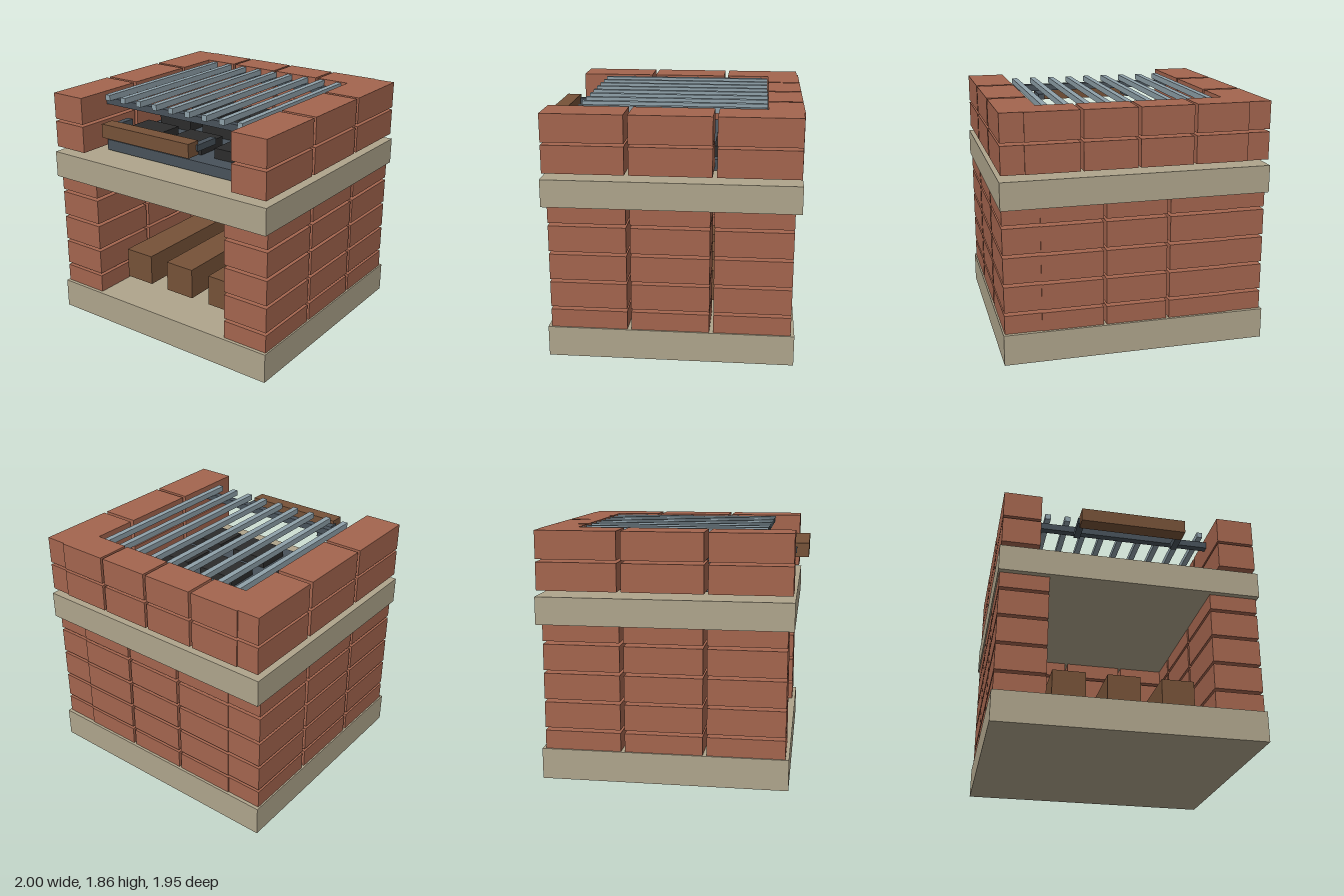
import * as THREE from 'three';

export function createModel() {
  const model = new THREE.Group();
  model.name = 'brickBarbecue';

  const material = (name, color) => {
    const m = new THREE.MeshStandardMaterial({ color });
    m.name = name;
    return m;
  };
  const brick = material('brick red', 0xa4654e);
  const stone = material('sandstone', 0xafa58c);
  const wood = material('brown wood', 0x765238);
  const iron = material('dark iron', 0x48525a);
  const steel = material('pale steel', 0x8fa1aa);
  const coal = material('charcoal', 0x2c2c2c);

  const group = (name) => {
    const g = new THREE.Group();
    g.name = name;
    model.add(g);
    return g;
  };

  // Box given by its extents along each axis
  const box = (parent, name, mat, [x0, x1], [y0, y1], [z0, z1]) => {
    const mesh = new THREE.Mesh(new THREE.BoxGeometry(x1 - x0, y1 - y0, z1 - z0), mat);
    mesh.position.set((x0 + x1) / 2, (y0 + y1) / 2, (z0 + z1) / 2);
    mesh.name = name;
    parent.add(mesh);
  };

  // One U-shaped course: two side walls and a back wall
  const course = (parent, y, c) => {
    for (const zs of c.sideZ) {
      box(parent, 'leftBrick', brick, [c.inner, 0.988], y, zs);
      box(parent, 'rightBrick', brick, [-0.988, -c.inner], y, zs);
    }
    for (let i = 0; i < c.count; i++) {
      const x = (i - (c.count - 1) / 2) * c.pitch;
      box(parent, 'backBrick', brick, [x - c.width / 2, x + c.width / 2], y, c.backZ);
    }
  };

  // Stone slabs
  box(model, 'baseSlab', stone, [-1, 1], [0, 0.233], [-0.952, 0.878]);
  box(model, 'hearthSlab', stone, [-1, 1], [1.173, 1.378], [-0.973, 0.896]);

  // Lower walls around the wood store
  const lower = group('lowerWalls');
  for (let i = 0; i < 5; i++) {
    const y = 0.178 + i * 0.2185;
    course(lower, [y, y + 0.195], {
      inner: 0.617, sideZ: [[0.281, 0.852], [-0.326, 0.251], [-0.925, -0.356]],
      count: 3, pitch: 0.483, width: 0.46, backZ: [-0.932, -0.62],
    });
  }

  // Upper walls around the fire
  const upper = group('upperWalls');
  for (const y of [[1.422, 1.629], [1.649, 1.856]]) {
    course(upper, y, {
      inner: 0.698, sideZ: [[0.287, 0.882], [-0.338, 0.256], [-0.963, -0.37]],
      count: 4, pitch: 0.415, width: 0.393, backZ: [-0.973, -0.716],
    });
  }

  // Stored logs
  const logs = group('logs');
  for (const x of [-0.418, -0.002, 0.414]) {
    box(logs, 'log', wood, [x - 0.126, x + 0.126], [0.297, 0.543], [-0.683, 0.606]);
  }

  // Fire tray with a grid of coals
  const fire = group('fireTray');
  box(fire, 'tray', iron, [-0.677, 0.677], [1.39, 1.474], [-0.711, 0.638]);
  for (const x of [-0.435, 0, 0.435]) {
    for (const z of [-0.463, -0.045, 0.373]) {
      box(fire, 'coal', coal, [x - 0.156, x + 0.156], [1.45, 1.554], [z - 0.134, z + 0.134]);
    }
  }

  // Cooking grate: cross rails below, bars on top
  const grate = group('grate');
  for (const z of [-0.67, 0.58]) {
    box(grate, 'rail', iron, [-0.697, 0.697], [1.754, 1.806], [z - 0.027, z + 0.027]);
  }
  for (let i = -4; i <= 4; i++) {
    const x = i * 0.1555;
    box(grate, 'bar', steel, [x - 0.022, x + 0.022], [1.806, 1.85], [-0.711, 0.672]);
  }

  // Front handle on two arms
  const handle = group('handle');
  box(handle, 'grip', wood, [-0.404, 0.404], [1.628, 1.732], [0.862, 0.974]);
  for (const x of [-0.392, 0.392]) {
    box(handle, 'arm', iron, [x - 0.025, x + 0.025], [1.657, 1.705], [0.675, 0.885]);
  }

  return model;
}
